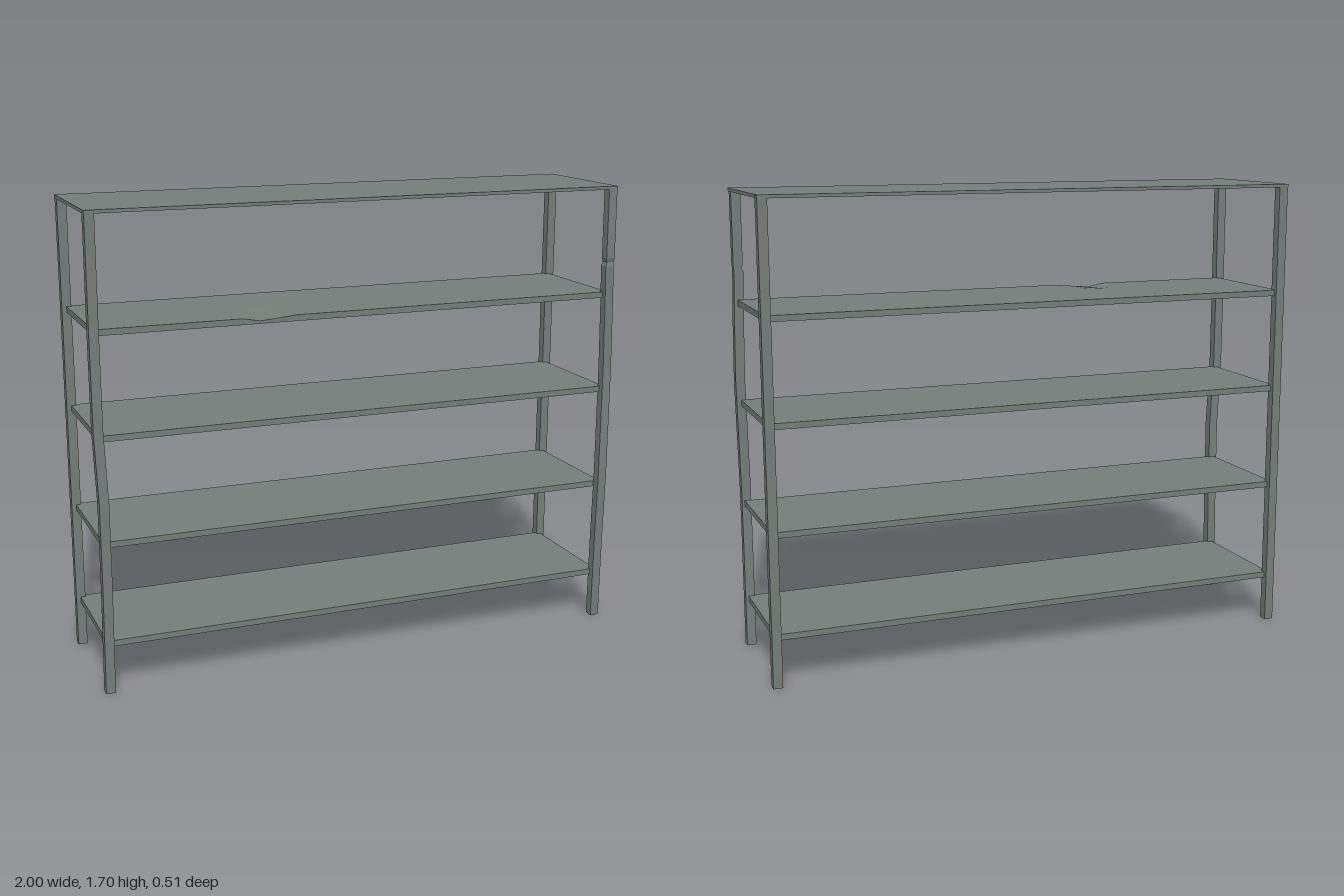
import * as THREE from 'three';

const steel = new THREE.MeshStandardMaterial({ color: 0x757d79 });
steel.name = 'weathered grey steel';

const POST = 0.034; // post width

function addMesh(group, geometry, name, x = 0, y = 0, z = 0) {
  const mesh = new THREE.Mesh(geometry, steel);
  mesh.name = name;
  mesh.position.set(x, y, z);
  group.add(mesh);
}

// Square post swept through stations [y, centreX, centreZ, width scale]
function bentPost(stations) {
  const positions = [];
  const corners = [[-1, 1], [1, 1], [1, -1], [-1, -1]];
  const rings = stations.map(([y, x, z, s = 1]) =>
    corners.map(([cx, cz]) => [x + cx * POST / 2 * s, y, z + cz * POST / 2 * s]));
  const quad = (a, b, c, d) => positions.push(...a, ...b, ...c, ...a, ...c, ...d);
  for (let i = 0; i < rings.length - 1; i++) {
    for (let k = 0; k < 4; k++) {
      const n = (k + 1) % 4;
      quad(rings[i][k], rings[i][n], rings[i + 1][n], rings[i + 1][k]);
    }
  }
  const [b, t] = [rings[0], rings[rings.length - 1]];
  quad(b[3], b[2], b[1], b[0]);
  quad(t[0], t[1], t[2], t[3]);
  const geometry = new THREE.BufferGeometry();
  geometry.setAttribute('position', new THREE.Float32BufferAttribute(positions, 3));
  geometry.computeVertexNormals();
  return geometry;
}

// Shelf board whose front top edge can carry a shallow dent
function shelfBoard(dented) {
  const [w, h, zBack, zFront] = [1.96, 0.022, -0.24, 0.222];
  const geometry = new THREE.BoxGeometry(w, h, zFront - zBack, dented ? 98 : 1, 1, dented ? 12 : 1);
  const p = geometry.attributes.position;
  if (dented) {
    for (let i = 0; i < p.count; i++) {
      const x = p.getX(i);
      if (p.getY(i) < 0) continue;
      const along = x < -0.4 ? (x + 0.46) / 0.06 : (-0.26 - x) / 0.14;
      const across = 1 - (zFront - zBack) / 0.16 / 2 + p.getZ(i) / 0.16;
      p.setY(i, h / 2 - 0.012 * Math.max(0, along) * Math.max(0, across));
    }
    geometry.computeVertexNormals();
  }
  return geometry.translate(0, 0, (zFront + zBack) / 2);
}

export function createModel() {
  const model = new THREE.Group();
  model.name = 'shelvingUnit';

  // Straight rear posts
  for (const [side, name] of [[1, 'backLeftPost'], [-1, 'backRightPost']]) {
    addMesh(model, new THREE.BoxGeometry(POST, 1.695, POST), name, side * 0.98, 0.8475, -0.24);
  }

  // Front posts, knocked out of true
  addMesh(model, bentPost([
    [0, -0.978, 0.224], [0.4, -0.974, 0.226], [0.7, -0.974, 0.229],
    [0.95, -0.983, 0.226], [1.3, -0.983, 0.224], [1.695, -0.981, 0.222],
  ]), 'frontRightPost');
  addMesh(model, bentPost([
    [0, 0.976, 0.223], [0.35, 0.974, 0.231], [0.58, 0.972, 0.241], [0.72, 0.975, 0.236],
    [1.0, 0.982, 0.224], [1.25, 0.978, 0.223], [1.4, 0.973, 0.224],
    [1.415, 0.977, 0.222, 0.85], [1.43, 0.975, 0.224], [1.695, 0.975, 0.222],
  ]), 'frontLeftPost');

  // Shelves, the upper one dented
  [0.179, 0.545, 0.924, 1.29].forEach((y, i) =>
    addMesh(model, shelfBoard(i === 3), 'shelf' + (i + 1), 0, y, 0));

  // Thin top sheet covering the posts
  addMesh(model, new THREE.BoxGeometry(1.995, 0.012, 0.492), 'topSheet', -0.002, 1.692, -0.009);

  return model;
}
